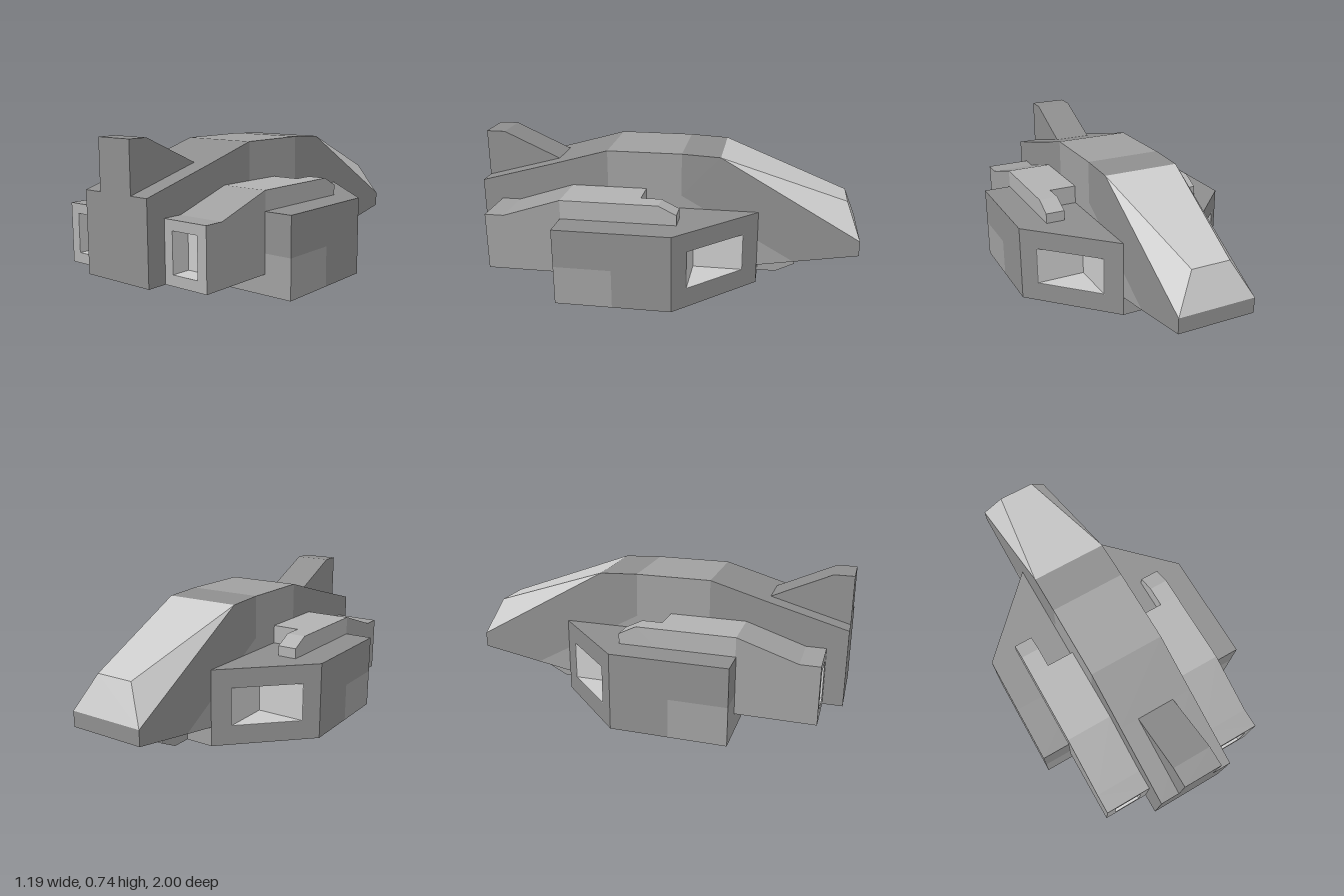
import * as THREE from 'three';

const paint = (color) => new THREE.MeshStandardMaterial({ color, flatShading: true });
const dark = paint(0x8e8e8e);
const mid = paint(0xa0a0a0);
const light = paint(0xb2b2b2);
const pale = paint(0xcccccc);

// for extrusions the material may be a pair: [end faces, side faces]
function add(parent, geometry, name, material) {
  const mesh = new THREE.Mesh(geometry, material);
  mesh.name = name;
  parent.add(mesh);
}

const toShape = (points) => new THREE.Shape(points.map(([a, b]) => new THREE.Vector2(a, b)));
const extrude = (shape, depth) => new THREE.ExtrudeGeometry(shape, { depth, bevelEnabled: false });
const rect = (a0, a1, b0, b1) => [[a0, b0], [a1, b0], [a1, b1], [a0, b1]];

// side profile in (z, y), extruded across x0..x1
function slab(profile, x0, x1) {
  return extrude(toShape(profile), x1 - x0).rotateY(-Math.PI / 2).translate(x1, 0, 0);
}

// plan outline in (x, z), extruded upwards across y0..y1
function plate(plan, y0, y1) {
  const shape = toShape(plan.map(([x, z]) => [x, -z]));
  return extrude(shape, y1 - y0).rotateX(-Math.PI / 2).translate(0, y0, 0);
}

// frame with a rectangular opening, outlines in (x, y), extruded across z0..z1
function frame(outer, inner, z0, z1) {
  const shape = toShape(outer);
  shape.holes.push(toShape(inner));
  return extrude(shape, z1 - z0).translate(0, 0, z0);
}

// sloped canopy that narrows towards its front edge
function canopyGeometry() {
  const A = [0.2, 0.68, -0.28], B = [0.1, 0.447, -0.93], C = [0.2, 0.267, -1];
  const [a, b, c] = [A, B, C].map(([x, y, z]) => [-x, y, z]);
  const triangles = [A, B, b, A, b, a, B, C, c, B, c, b, A, C, B, a, b, c];
  const geometry = new THREE.BufferGeometry();
  geometry.setAttribute('position', new THREE.Float32BufferAttribute(triangles.flat(), 3));
  geometry.computeVertexNormals();
  return geometry;
}

export function createModel() {
  const model = new THREE.Group();
  model.name = 'shuttle';

  // fuselage in three tones, canopy and tail fin
  add(model, slab([[1, 0.1], [1, 0.497], [0.6, 0.607], [0.31, 0.69], [0.31, 0.1]], -0.2, 0.2), 'rearFuselage', dark);
  add(model, slab([[0.31, 0.1], [0.31, 0.69], [-0.08, 0.69], [-0.08, 0.465], [-0.67, 0.132], [-0.48, 0.1]],
    -0.2, 0.2), 'midFuselage', mid);
  add(model, slab([[-0.08, 0.465], [-0.08, 0.69], [-0.28, 0.68], [-1, 0.267], [-1, 0.188], [-0.67, 0.132]],
    -0.2, 0.2), 'nose', dark);
  add(model, canopyGeometry(), 'canopy', pale);
  add(model, slab([[0.6, 0.607], [0.9, 0.743], [1, 0.743], [1, 0.497]], -0.1, 0.1), 'tailFin', dark);

  // belly block and the small chin strut in front of it
  add(model, plate(rect(-0.2, 0.2, -0.48, 0.33), 0, 0.1), 'belly', [dark, mid]);
  add(model, slab([[-0.4, 0], [-0.4, 0.12], [-0.68, 0.14], [-0.68, 0.05], [-0.58, 0]], -0.05, 0.05), 'chinStrut', mid);

  for (const side of [1, -1]) {
    const group = new THREE.Group();
    group.name = side > 0 ? 'leftSide' : 'rightSide';
    model.add(group);
    const mirror = (plan) => plan.map(([x, z]) => [x * side, z]);
    const sideRect = (a, b, c, d) => rect(Math.min(a * side, b * side), Math.max(a * side, b * side), c, d);
    const sideSlab = (profile, a, b) => slab(profile, Math.min(a * side, b * side), Math.max(a * side, b * side));

    // front of the side pod, its middle layer notched to form the angled intake
    const outline = mirror([[0.2, -0.48], [0.593, -0.087], [0.593, 0.21], [0.2, 0.21]]);
    const notched = mirror([[0.2, -0.48], [0.27, -0.41], [0.27, -0.15], [0.53, -0.15],
      [0.593, -0.087], [0.593, 0.21], [0.2, 0.21]]);
    add(group, plate(outline, 0, 0.1), 'podFloor', dark);
    add(group, plate(notched, 0.1, 0.3), 'podIntake', dark);
    add(group, plate(outline, 0.3, 0.397), 'podRoof', dark);

    // thin pale panels inside the intake
    const throat = mirror([[0.27, -0.41], [0.53, -0.15], [0.27, -0.15]]);
    const walls = mirror([[0.27, -0.41], [0.272, -0.408], [0.272, -0.152], [0.528, -0.152], [0.53, -0.15], [0.27, -0.15]]);
    add(group, plate(throat, 0.1, 0.102), 'intakeFloor', pale);
    add(group, plate(throat, 0.298, 0.3), 'intakeCeiling', pale);
    add(group, plate(walls, 0.102, 0.298), 'intakeWalls', pale);

    // rear of the side pod with a lighter lower half
    const rear = sideRect(0.2, 0.593, 0.21, 0.503);
    add(group, plate(rear, 0, 0.2), 'podRearLower', [dark, mid]);
    add(group, plate(rear, 0.2, 0.397), 'podRearUpper', dark);

    // engine with a lighter front and a forward prong
    add(group, sideSlab([[0.8, 0.1], [0.8, 0.397], [0.5, 0.495], [0.5, 0.1]], 0.2, 0.445), 'engineRear', mid);
    add(group, sideSlab(rect(0.105, 0.5, 0.397, 0.495), 0.2, 0.445), 'engineFront', light);
    add(group, sideSlab([[0.105, 0.397], [0.105, 0.495], [0, 0.495], [-0.09, 0.45], [-0.09, 0.397]],
      0.345, 0.445), 'engineProng', light);

    // rear nozzle with a thin pale lining and back panel
    const opening = sideRect(0.245, 0.395, 0.15, 0.35);
    add(group, frame(sideRect(0.2, 0.445, 0.1, 0.397), opening, 0.8, 0.9), 'nozzle', [light, mid]);
    add(group, frame(opening, sideRect(0.247, 0.393, 0.152, 0.348), 0.8, 0.9), 'nozzleLining', pale);
    add(group, extrude(toShape(opening), 0.003).translate(0, 0, 0.799), 'nozzleBack', pale);
  }
  return model;
}
